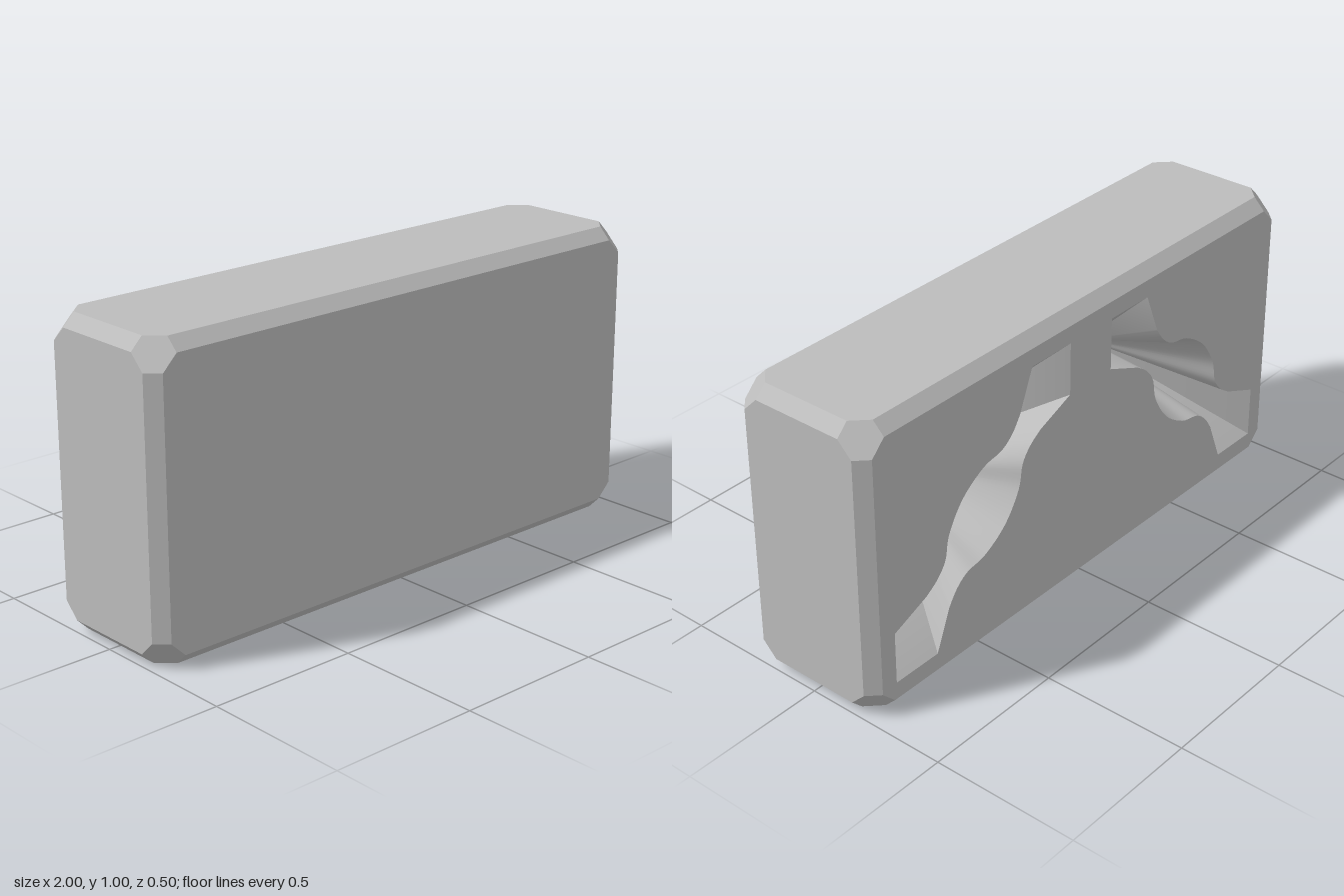
import * as THREE from 'three';
import { ConvexGeometry } from 'three/addons/geometries/ConvexGeometry.js';
import { toCreasedNormals } from 'three/addons/utils/BufferGeometryUtils.js';

const HALF = [1, 0.5, 0.25];      // half extents of the block
const INSETS = [0, 0.04, 0.09];   // bevel insets, one per axis in every order
const BACK = -HALF[2];
const APEX_Z = 0.17;              // deepest point of each cavity

const stone = new THREE.MeshStandardMaterial({ color: 0xbcbcbc });
stone.name = 'grey stone';
const stoneInside = stone;
stoneInside.side = THREE.DoubleSide;

// Bevelled block with the back face left open
function blockGeometry() {
  const points = [];
  const orders = [[0, 1, 2], [0, 2, 1], [1, 0, 2], [1, 2, 0], [2, 0, 1], [2, 1, 0]];
  for (const o of orders) {
    for (const sx of [-1, 1]) for (const sy of [-1, 1]) for (const sz of [-1, 1]) {
      points.push(new THREE.Vector3(
        sx * (HALF[0] - INSETS[o[0]]),
        sy * (HALF[1] - INSETS[o[1]]),
        sz * (HALF[2] - INSETS[o[2]])));
    }
  }
  const hull = new ConvexGeometry(points).getAttribute('position');
  const kept = [];
  for (let i = 0; i < hull.count; i += 3) {
    const corners = [i, i + 1, i + 2];
    if (corners.every((k) => hull.getZ(k) < BACK + 0.001)) continue;
    for (const k of corners) kept.push(hull.getX(k), hull.getY(k), hull.getZ(k));
  }
  const geometry = new THREE.BufferGeometry();
  geometry.setAttribute('position', new THREE.Float32BufferAttribute(kept, 3));
  geometry.computeVertexNormals();
  return geometry;
}

// Diagonal outline: square tips, narrow waists and a bulge in the middle
function cavityOutline(side) {
  const waist = new THREE.SplineCurve([
    [-0.30, 0.068], [-0.24, 0.058], [-0.18, 0.068], [-0.11, 0.112], [0, 0.134],
    [0.11, 0.112], [0.18, 0.068], [0.24, 0.058], [0.30, 0.068],
  ].map(([t, w]) => new THREE.Vector2(t, w))).getPoints(40);
  const half = [
    new THREE.Vector2(-0.566, 0), new THREE.Vector2(-0.439, 0.127),
    ...waist, new THREE.Vector2(0.439, 0.127),
  ];
  const loop = [...half, ...half.map((p) => p.clone().negate())];
  const outline = loop.map((p) => new THREE.Vector2(
    side * (0.5 + (p.x + p.y) * Math.SQRT1_2), (p.y - p.x) * Math.SQRT1_2));
  return THREE.ShapeUtils.isClockWise(outline) ? outline : outline.reverse();
}

// Walls running from the outline down to one deep point
function cavityGeometry(outline, side) {
  const positions = [];
  outline.forEach((a, i) => {
    const b = outline[(i + 1) % outline.length];
    positions.push(a.x, a.y, BACK, b.x, b.y, BACK, side * 0.5, 0, APEX_Z);
  });
  const geometry = new THREE.BufferGeometry();
  geometry.setAttribute('position', new THREE.Float32BufferAttribute(positions, 3));
  return toCreasedNormals(geometry, 0.45);
}

// Octagonal back face with both cavity openings cut out
function backGeometry(outlines) {
  const x = HALF[0] - INSETS[1], y = HALF[1] - INSETS[1], cut = INSETS[2] - INSETS[1];
  const shape = new THREE.Shape([
    [x, -y + cut], [x, y - cut], [x - cut, y], [-x + cut, y],
    [-x, y - cut], [-x, -y + cut], [-x + cut, -y], [x - cut, -y],
  ].map(([px, py]) => new THREE.Vector2(px, py)));
  shape.holes = outlines.map((o) => new THREE.Path(o));
  return new THREE.ShapeGeometry(shape).rotateY(Math.PI).translate(0, 0, BACK);
}

export function createModel() {
  const model = new THREE.Group();
  model.name = 'castingMould';
  const add = (name, geometry, material) => {
    const mesh = new THREE.Mesh(geometry, material);
    mesh.name = name;
    mesh.position.y = HALF[1];
    model.add(mesh);
  };

  const sides = [1, -1];
  const outlines = sides.map(cavityOutline);
  add('block', blockGeometry(), stone);
  add('backFace', backGeometry(outlines), stone);
  sides.forEach((side, i) => add(side > 0 ? 'leftCavity' : 'rightCavity',
    cavityGeometry(outlines[i], side), stoneInside));
  return model;
}
